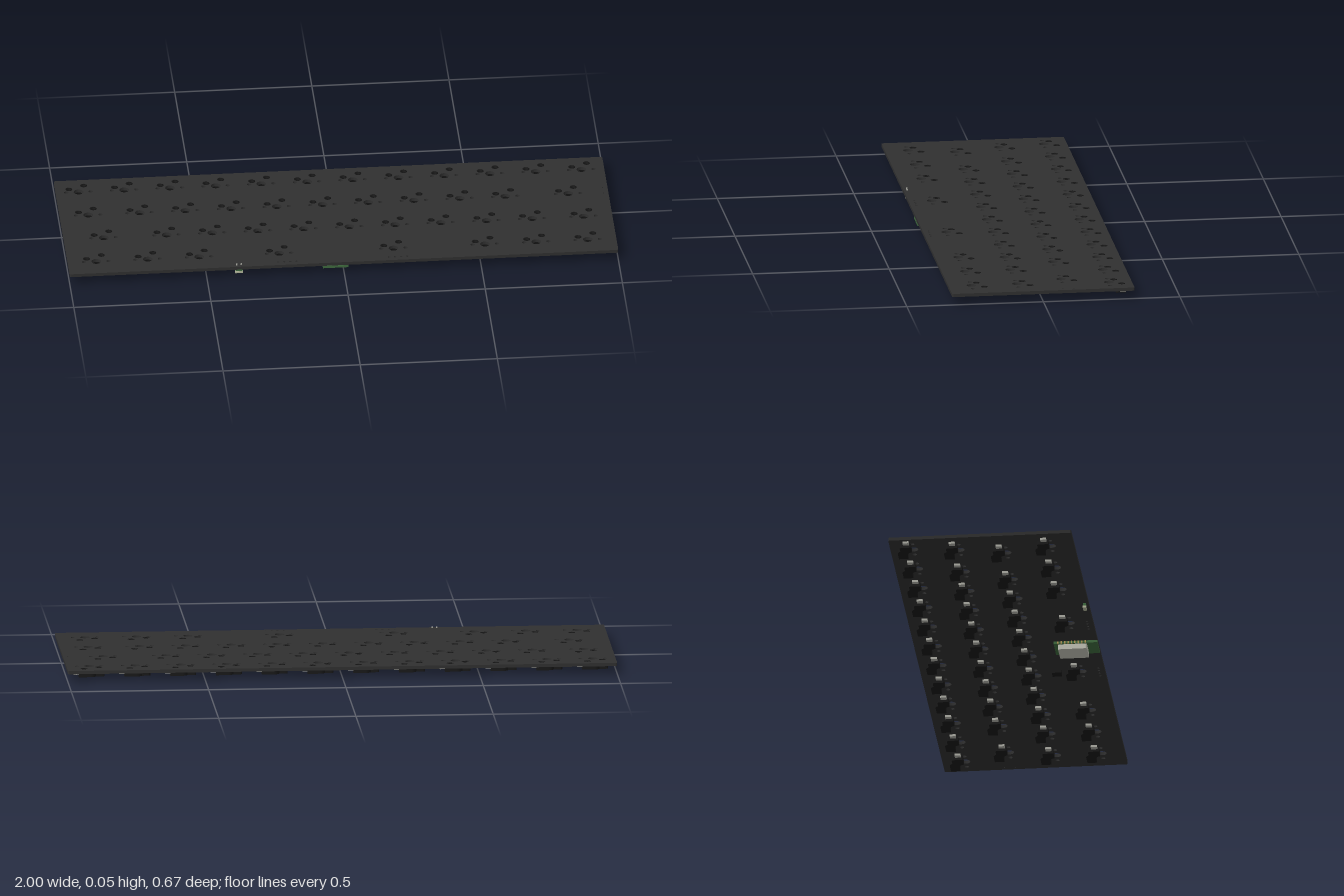
import * as THREE from 'three';

const U = 2 / 12;            // one key unit
const MM = U / 19.05;        // one millimetre
const TOP = 0.042, BOTTOM = 0.03;

const mat = (color) => new THREE.MeshStandardMaterial({ color });
const M = {
  board: mat(0x303030), socket: mat(0x191919), metal: mat(0xb0b0a8),
  green: mat(0x3f6b3f), shield: mat(0xc4c4b8), pad: mat(0xb59a5a), pale: mat(0xb4b89c),
};

function add(parent, name, geometry, material, x = 0, y = 0, z = 0) {
  const mesh = new THREE.Mesh(geometry, material);
  mesh.name = name;
  mesh.position.set(x, y, z);
  parent.add(mesh);
  return mesh;
}

// Extrudes a shape drawn in (x, z) downwards from y = 0
function slab(shape, depth, curveSegments = 10) {
  return new THREE.ExtrudeGeometry(shape, { depth, bevelEnabled: false, curveSegments })
    .rotateX(Math.PI / 2);
}

// Switch centres in key units, row by row
const run = (from, n) => Array.from({ length: n }, (_, i) => from + i);
const ROWS = [
  run(0.5, 12),
  [0.625, ...run(1.75, 9), 11.125],
  [0.875, ...run(2.25, 9), 11.375],
  [0.625, 1.75, 2.875, 4.625, 7.125, 9.125, 10.25, 11.375],
];
const SWITCHES = ROWS.flatMap((row, r) => row.map((u) => [u * U - 1, (r - 1.5) * U]));

// Pin positions of the socket, relative to a switch centre
const PINS = [[-3.81 * MM, -2.54 * MM], [2.54 * MM, -5.08 * MM]];

function boardGeometry() {
  const w = 1, d = 0.334, r = 0.006;
  const s = new THREE.Shape();
  s.moveTo(-w + r, -d);
  s.lineTo(w - r, -d); s.quadraticCurveTo(w, -d, w, -d + r);
  s.lineTo(w, d - r); s.quadraticCurveTo(w, d, w - r, d);
  s.lineTo(-w + r, d); s.quadraticCurveTo(-w, d, -w, d - r);
  s.lineTo(-w, -d + r); s.quadraticCurveTo(-w, -d, -w + r, -d);
  const hole = (x, z, radius) =>
    s.holes.push(new THREE.Path().absarc(x, z, radius, 0, Math.PI * 2, true));
  for (const [x, z] of SWITCHES) {
    hole(x, z, 2 * MM);
    for (const side of [-1, 1]) hole(x + side * 5.08 * MM, z, 0.9 * MM);
    for (const [px, pz] of PINS) hole(x + px, z + pz, 1.5 * MM);
  }
  // Four-pin header holes, and small holes by the edge
  for (const cx of [-0.204, 0.2])
    for (let i = 0; i < 4; i++) hole(cx + (i - 1.5) * 2.54 * MM, 0.312, 0.5 * MM);
  for (const z of [-0.115, -0.075]) hole(0.982, z, 0.3 * MM);
  return slab(s, TOP - BOTTOM);
}

// Stepped body with rounded outer corners
function socketShape() {
  const s = new THREE.Shape();
  s.moveTo(-0.053, -0.038);
  s.quadraticCurveTo(-0.053, -0.046, -0.045, -0.046);
  s.lineTo(-0.022, -0.046);
  s.quadraticCurveTo(-0.014, -0.057, -0.004, -0.057);
  s.lineTo(0.042, -0.057);
  s.lineTo(0.042, -0.022);
  s.lineTo(0.008, -0.022);
  s.quadraticCurveTo(-0.008, -0.02, -0.012, -0.005);
  s.lineTo(-0.053, -0.005);
  s.closePath();
  return s;
}

function createSockets() {
  const group = new THREE.Group();
  group.name = 'switchSockets';
  const body = slab(socketShape(), 0.0165, 5);
  const h = 0.014;
  const collar = new THREE.LatheGeometry(
    [[0.0125, 0], [0.0125, h], [0.007, h], [0.007, 0]].map((p) => new THREE.Vector2(...p)), 14);
  collar.computeVertexNormals();
  const tab = new THREE.BoxGeometry(0.02, 0.008, 0.022);
  const contact = new THREE.CylinderGeometry(0.006, 0.006, 0.002, 10);
  for (const [x, z] of SWITCHES) {
    const socket = new THREE.Group();
    socket.name = 'switchSocket';
    socket.position.set(x, 0, z);
    add(socket, 'socketBody', body, M.socket, 0, 0.029, 0);
    PINS.forEach(([px, pz], i) => {
      add(socket, 'pinCollar', collar, M.socket, px, 0.027, pz);
      add(socket, 'pinContact', contact, M.socket, px, 0.03, pz);
      add(socket, 'solderTab', tab, M.metal, i ? 0.051 : -0.062, 0.026, pz);
    });
    group.add(socket);
  }
  return group;
}

// Small circuit module hanging below the front edge
function createModule() {
  const group = new THREE.Group();
  group.name = 'controllerModule';
  group.position.set(-0.03, 0, 0);
  add(group, 'moduleBoard', new THREE.BoxGeometry(0.094, 0.009, 0.16), M.green, 0, 0.0245, 0.254);

  // Metal can with rounded vertical corners
  const w = 0.041, d = 0.0525, r = 0.006;
  const s = new THREE.Shape();
  s.absarc(w - r, d - r, r, 0, Math.PI / 2);
  s.absarc(-w + r, d - r, r, Math.PI / 2, Math.PI);
  s.absarc(-w + r, -d + r, r, Math.PI, Math.PI * 1.5);
  s.absarc(w - r, -d + r, r, Math.PI * 1.5, Math.PI * 2);
  add(group, 'metalShield', slab(s, 0.02, 4), M.shield, 0, 0.0205, 0.2425);

  // Gold pads along both sides
  const pad = new THREE.BoxGeometry(0.006, 0.0095, 0.005);
  for (const side of [-1, 1])
    for (let i = 0; i < 9; i++)
      add(group, 'edgePad', pad, M.pad, side * 0.0455, 0.0245, 0.19 + i * 0.0125);
  return group;
}

export function createModel() {
  const model = new THREE.Group();
  model.name = 'keyboardCircuitBoard';
  add(model, 'circuitBoard', boardGeometry(), M.board, 0, TOP, 0);
  model.add(createSockets(), createModule());

  // Small chip on the underside
  add(model, 'chip', new THREE.BoxGeometry(0.034, 0.013, 0.034), M.socket, 0.18, 0.0235, 0.16);

  // Two-pin connector through the front edge
  const connector = new THREE.Group();
  connector.name = 'connector';
  connector.position.set(-0.382, 0, 0.32);
  add(connector, 'connectorBody', new THREE.BoxGeometry(0.028, 0.008, 0.013), M.pale, 0, 0.015, 0);
  add(connector, 'connectorBase', new THREE.BoxGeometry(0.024, 0.013, 0.01), M.green, 0, 0.0245, 0);
  const pin = new THREE.CylinderGeometry(0.003, 0.003, 0.018, 8);
  for (const side of [-1, 1])
    add(connector, 'connectorPin', pin, M.metal, side * 0.008, 0.038, 0);
  model.add(connector);
  return model;
}
